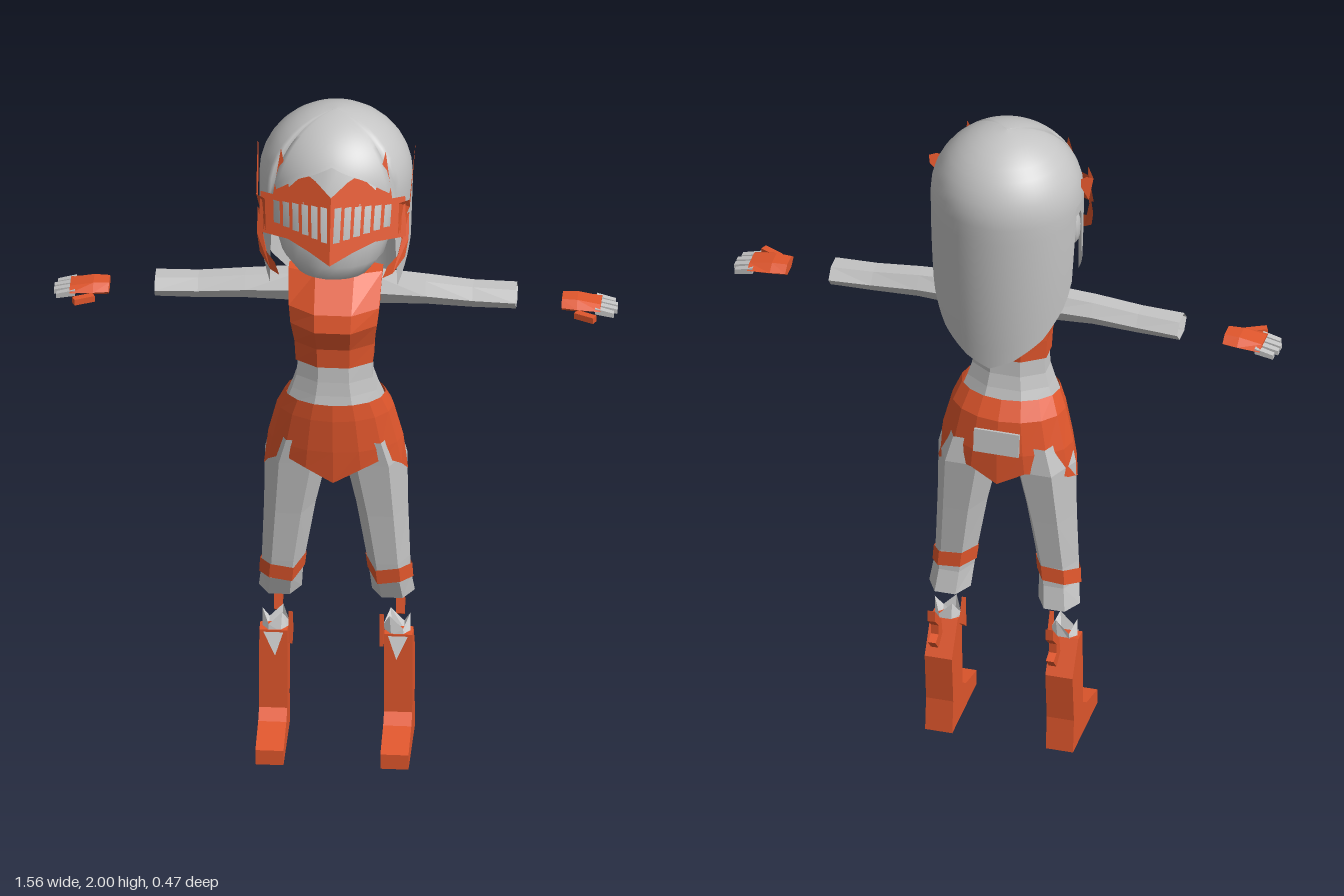
import * as THREE from 'three';

const make = (name, color) => {
  const m = new THREE.MeshStandardMaterial({ color, side: THREE.DoubleSide });
  m.name = name;
  return m;
};

export function createModel() {
  const grey = make('grey', 0xc4c4c4);
  const orange = make('orange', 0xe0562c);
  const white = make('white', 0xffffff);
  const model = new THREE.Group();
  model.name = 'figure';

  const add = (parent, name, geo, mat) => {
    const mesh = new THREE.Mesh(geo, mat);
    mesh.name = name;
    parent.add(mesh);
    return mesh;
  };

  // Ring around the y axis; y may be a function of the side's index
  const ring = (y, x0, x1, z0, z1, n = 8, phase = 0.5) => {
    const grow = phase ? 1 / Math.cos(Math.PI / n) : 1;
    return Array.from({ length: n }, (_, i) => {
      const a = (i + phase) / n * Math.PI * 2;
      return [(x0 + x1) / 2 + Math.sin(a) * (x1 - x0) / 2 * grow,
        typeof y === 'function' ? y(i) : y,
        (z0 + z1) / 2 + Math.cos(a) * (z1 - z0) / 2 * grow];
    });
  };
  // Ring around the x axis, for arms and hands
  const ringX = (x, y0, y1, z0, z1, n = 6) =>
    ring(x, z0, z1, y0, y1, n).map(([z, xx, y]) => [xx, y, z]);

  // Surface through rings, with optional end caps
  const loft = (rings, { smooth = false, start = false, end = false } = {}) => {
    const n = rings[0].length, pos = rings.flat(2), idx = [];
    for (let r = 0; r < rings.length - 1; r++) {
      for (let i = 0; i < n; i++) {
        const a = r * n + i, b = r * n + (i + 1) % n;
        idx.push(a, b, b + n, a, b + n, a + n);
      }
    }
    const top = (rings.length - 1) * n;
    for (let i = 1; i < n - 1; i++) {
      if (start) idx.push(0, i + 1, i);
      if (end) idx.push(top, top + i, top + i + 1);
    }
    let g = new THREE.BufferGeometry();
    g.setAttribute('position', new THREE.Float32BufferAttribute(pos, 3));
    g.setIndex(idx);
    if (!smooth) g = g.toNonIndexed();
    g.computeVertexNormals();
    return g;
  };

  const shapeOf = pts => new THREE.Shape(pts.map(p => new THREE.Vector2(...p)));
  // Side profile given as (z, y), extruded inward from xOuter
  const plate = (pts, xOuter, depth) =>
    new THREE.ExtrudeGeometry(shapeOf(pts), { depth, bevelEnabled: false })
      .rotateY(-Math.PI / 2).translate(xOuter, 0, 0);
  // Flat shape moved onto a surface by a rule
  const bent = (shape, rule) => {
    const g = new THREE.ShapeGeometry(shape), p = g.attributes.position;
    for (let i = 0; i < p.count; i++) p.setXYZ(i, ...rule(p.getX(i), p.getY(i)));
    const flat = g.toNonIndexed();
    flat.computeVertexNormals();
    return flat;
  };

  // Face and neck
  add(model, 'face', loft([
    ring(1.55, -0.05, 0.05, 0.05, 0.14, 20), ring(1.57, -0.1, 0.1, 0.01, 0.175, 20),
    ring(1.62, -0.14, 0.14, -0.04, 0.2, 20), ring(1.7, -0.165, 0.165, -0.06, 0.195, 20),
    ring(1.8, -0.17, 0.17, -0.08, 0.165, 20), ring(1.9, -0.13, 0.13, -0.1, 0.12, 20),
  ], { smooth: true, start: true, end: true }), grey);
  add(model, 'neck', loft([ring(1.48, -0.03, 0.03, -0.05, 0.01), ring(1.62, -0.03, 0.03, -0.05, 0.01)]), grey);
  add(model, 'collar', loft([ring(1.5, -0.04, 0.04, -0.06, 0.015), ring(1.545, -0.035, 0.035, -0.055, 0.01)]), orange);

  // Hair: a dome whose hem drops to side locks and a long pointed back
  const hemStops = [[0, 1.91], [28, 1.87], [50, 1.81], [60, 1.5], [75, 1.57], [85, 1.62], [90, 1.77],
    [100, 1.77], [105, 1.56], [112, 1.5], [135, 1.41], [160, 1.35], [180, 1.32]];
  const hem = deg => {
    const i = Math.max(1, hemStops.findIndex(s => s[0] >= deg));
    const [d0, y0] = hemStops[i - 1], [d1, y1] = hemStops[i];
    return y0 + (y1 - y0) * (deg - d0) / (d1 - d0);
  };
  const cols = 72, rows = 18, hairRings = [];
  for (let r = rows; r >= 0; r--) {
    hairRings.push(Array.from({ length: cols }, (_, c) => {
      const deg = c * 360 / cols, a = deg * Math.PI / 180, t = r / rows;
      const low = hem(deg > 180 ? 360 - deg : deg);
      const polar = low > 1.8 ? t * Math.acos((low - 1.8) / 0.2) : Math.min(1, t * 2) * Math.PI / 2;
      const y = low < 1.8 && t > 0.5 ? 1.8 - (t * 2 - 1) * (1.8 - low) : 1.8 + 0.2 * Math.cos(polar);
      const d = Math.max(0, (1.8 - y) / 0.48);
      const k = Math.sin(polar) * (1 - 0.1 * d * d);
      return [Math.sin(a) * 0.212 * k, y, -0.025 + Math.cos(a) * 0.207 * k];
    }));
  }
  add(model, 'hair', loft(hairRings, { smooth: true }), grey);

  // Top, waist and shorts
  add(model, 'top', loft([
    ring(1.24, -0.107, 0.107, -0.05, 0.09), ring(1.3, -0.11, 0.11, -0.055, 0.095),
    ring(1.37, -0.12, 0.12, -0.06, 0.128), ring(1.42, -0.125, 0.125, -0.06, 0.115),
    ring(1.505, -0.13, 0.13, -0.06, 0.03),
  ], { end: true }), orange);
  add(model, 'waist', loft([
    ring(1.1, -0.135, 0.135, -0.08, 0.1), ring(1.15, -0.117, 0.117, -0.06, 0.09),
    ring(1.19, -0.105, 0.105, -0.05, 0.085), ring(1.26, -0.1, 0.1, -0.045, 0.08),
  ]), grey);
  const cut = [0.88, 0.92, 0.945, 0.91, 0.87, 0.89, 0.92, 0.92, 0.88];
  add(model, 'shorts', loft([
    ring(i => cut[i > 8 ? 16 - i : i], -0.2, 0.2, -0.135, 0.1, 16, 0),
    ring(0.98, -0.187, 0.187, -0.135, 0.107, 16, 0), ring(1.08, -0.162, 0.162, -0.12, 0.112, 16, 0),
    ring(1.13, -0.14, 0.14, -0.085, 0.11, 16, 0),
  ]), orange);
  const patch = add(model, 'backPatch', new THREE.BoxGeometry(0.13, 0.07, 0.008), grey);
  patch.position.set(0, 1.02, -0.136);
  patch.rotation.x = 0.12;

  // Everything below is built on the left side and mirrored
  const left = new THREE.Group();
  left.name = 'leftSide';

  add(left, 'ear', new THREE.SphereGeometry(1, 10, 8).scale(0.02, 0.055, 0.028).translate(0.19, 1.71, -0.025), grey);

  // Visor half with slots, folded along the middle
  const visor = shapeOf([[0, 1.645], [0.06, 1.67], [0.12, 1.69], [0.205, 1.69], [0.2, 1.8], [0.165, 1.8],
    [0.145, 1.93], [0.12, 1.83], [0.075, 1.88], [0.045, 1.865], [0, 1.83]]);
  for (let i = 0; i < 6; i++) {
    const x = 0.008 + i * 0.027, b = 1.705 + i * 0.004, t = 1.8 - i * 0.003;
    visor.holes.push(new THREE.Path([[x, b], [x + 0.003, t], [x + 0.021, t], [x + 0.018, b]]
      .map(p => new THREE.Vector2(...p))));
  }
  add(left, 'visor', bent(visor, (x, y) => [x, y, 0.23 - 0.45 * x - 0.3 * (y - 1.66)]), orange);
  // Side wing and cheek guard
  const side = (z, y) => [0.21 - 0.9 * Math.max(0, z - 0.11) + 0.06 * Math.max(0, y - 1.75), y, z];
  add(left, 'visorWing', bent(shapeOf([[0.14, 1.7], [0.06, 1.745], [-0.045, 1.86], [-0.05, 1.89],
    [0.02, 1.85], [0.1, 1.79], [0.14, 1.8]]), side), orange);
  add(left, 'cheekGuard', bent(shapeOf([[0.14, 1.74], [0.08, 1.74], [0.105, 1.67], [0.12, 1.62],
    [0.155, 1.585], [0.185, 1.585], [0.17, 1.615], [0.14, 1.635], [0.13, 1.68]]), side), orange);

  // Arm, open at the wrist
  add(left, 'arm', loft([
    ringX(0.11, 1.4, 1.485, -0.065, 0.015), ringX(0.25, 1.405, 1.475, -0.06, 0.018),
    ringX(0.38, 1.4, 1.462, -0.06, 0.018), ringX(0.5, 1.4, 1.458, -0.065, 0.02),
  ]), grey);

  // Gloved hand with bare fingertips
  add(left, 'glove', loft([
    ringX(0.627, 1.402, 1.437, -0.055, 0.02), ringX(0.67, 1.4, 1.437, -0.06, 0.025),
    ringX(0.735, 1.403, 1.425, -0.06, 0.025),
  ], { start: true, end: true }), orange);
  const thumb = add(left, 'thumb', new THREE.BoxGeometry(0.06, 0.018, 0.02), orange);
  thumb.position.set(0.695, 1.405, 0.045);
  thumb.rotation.y = -0.45;
  for (let i = 0; i < 4; i++) {
    const z = -0.054 + i * 0.024, tip = i === 0 || i === 3 ? 0.772 : 0.78;
    add(left, 'finger', loft([ringX(0.72, 1.404, 1.422, z - 0.009, z + 0.009, 4),
      ringX(tip, 1.394, 1.408, z - 0.008, z + 0.008, 4)], { end: true }), grey);
  }

  // Leg and knee band
  add(left, 'leg', loft([
    ring(0.465, 0.105, 0.208, -0.105, 0.0, 6), ring(0.53, 0.1, 0.2, -0.088, 0.028, 6),
    ring(0.59, 0.092, 0.197, -0.083, 0.035, 6), ring(0.75, 0.066, 0.19, -0.1, 0.05, 6),
    ring(0.92, 0.03, 0.185, -0.12, 0.07, 6), ring(1, 0.005, 0.165, -0.11, 0.08, 6),
  ]), grey);
  const slant = base => i => base + [0, -0.015, 0.01, 0.015, 0.01, -0.01][i];
  add(left, 'kneeBand', loft([ring(slant(0.535), 0.095, 0.205, -0.091, 0.033, 6),
    ring(slant(0.58), 0.09, 0.202, -0.088, 0.038, 6)]), orange);

  // Boot, cuff and calf fin
  add(left, 'boot', plate([[0.14, 0], [0.14, 0.045], [0.03, 0.075], [-0.005, 0.1], [-0.012, 0.342],
    [-0.055, 0.345], [-0.115, 0.25], [-0.1, 0.1], [-0.11, 0]], 0.212, 0.078), orange);
  add(left, 'cuff', loft([ring(0.335, 0.14, 0.2, -0.055, -0.015, 6),
    ring(i => (i % 2 ? 0.4 : 0.36), 0.135, 0.2, -0.06, -0.012, 6)]), white);
  add(left, 'cuffPoint', bent(shapeOf([[0.145, 0.34], [0.168, 0.265], [0.2, 0.34]]), (x, y) => [x, y, -0.004]), white);
  add(left, 'bootSpike', plate([[-0.015, 0.3], [-0.02, 0.4], [-0.05, 0.33]], 0.132, 0.012), orange);
  add(left, 'calfFin', plate([[-0.2, 0.465], [-0.135, 0.395], [-0.125, 0.345], [-0.165, 0.32],
    [-0.195, 0.355], [-0.165, 0.365], [-0.165, 0.395], [-0.2, 0.43]], 0.18, 0.022), orange);

  const right = left.clone();
  right.name = 'rightSide';
  right.scale.x = -1;
  model.add(left, right);
  return model;
}
